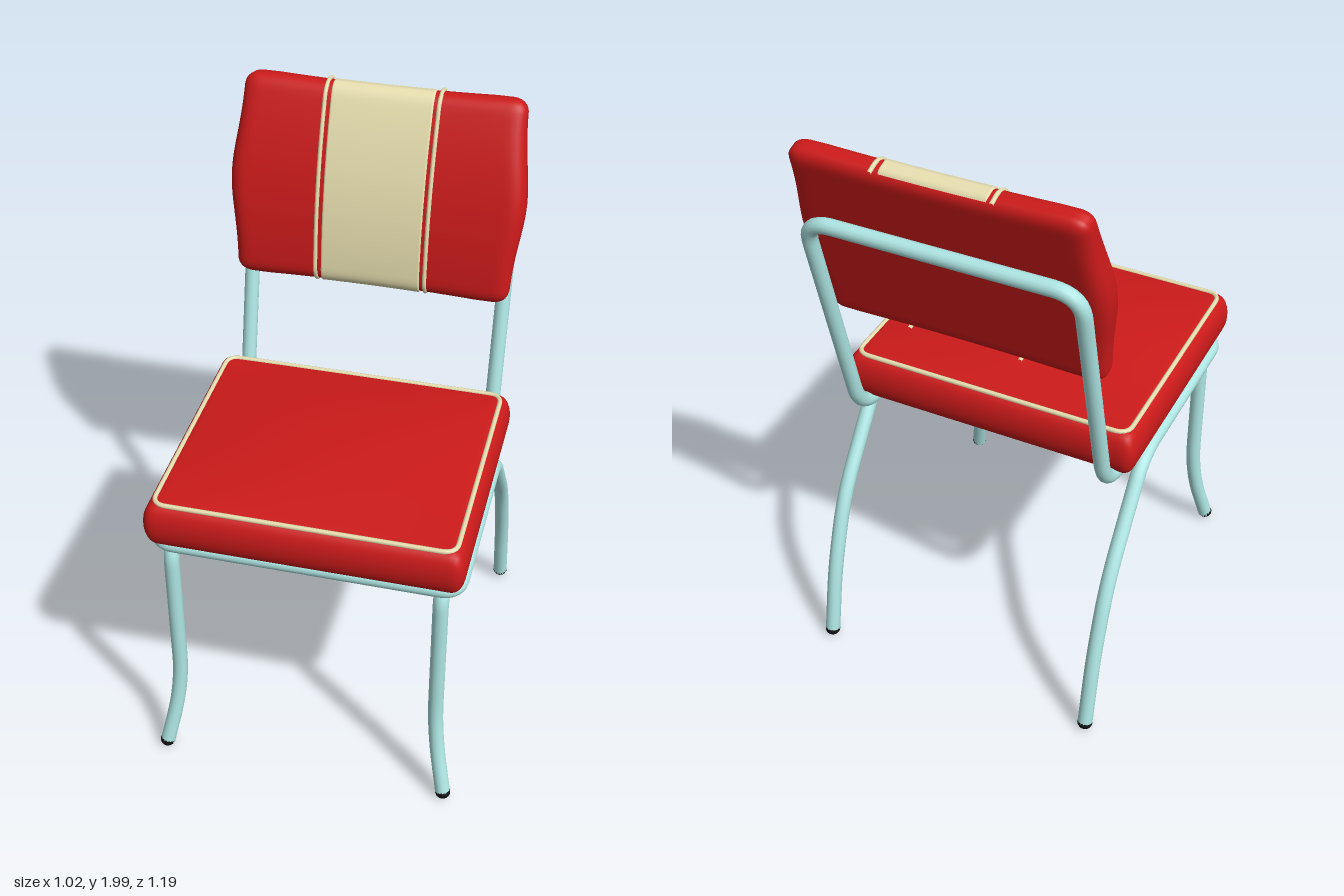
import * as THREE from 'three';
import { mergeVertices } from 'three/addons/utils/BufferGeometryUtils.js';

const paint = (color) => new THREE.MeshStandardMaterial({ color });
const red = paint(0xcc1a1a);
const cream = paint(0xe8dfb0);
const steel = paint(0xaee6e4);
const rubber = paint(0x111111);

function part(name, geometry, material) {
  const mesh = new THREE.Mesh(geometry, material);
  mesh.name = name;
  return mesh;
}

// Box with elliptical edge rounding, then bent by a warp rule
function cushion(half, radius, warp) {
  let g = new THREE.BoxGeometry(2, 2, 2, 40, 32, 40);
  g.deleteAttribute('normal');
  g.deleteAttribute('uv');
  g = mergeVertices(g);
  const pos = g.attributes.position;
  const v = new THREE.Vector3(), inner = new THREE.Vector3(), off = new THREE.Vector3();
  for (let i = 0; i < pos.count; i++) {
    v.fromBufferAttribute(pos, i);
    // crowd the grid towards the edges
    for (const k of ['x', 'y', 'z']) v[k] = Math.sin(v[k] * Math.PI / 2);
    v.multiply(half);
    inner.copy(half).sub(radius);
    inner.set(
      THREE.MathUtils.clamp(v.x, -inner.x, inner.x),
      THREE.MathUtils.clamp(v.y, -inner.y, inner.y),
      THREE.MathUtils.clamp(v.z, -inner.z, inner.z));
    off.copy(v).sub(inner).divide(radius).normalize().multiply(radius);
    v.copy(inner).add(off);
    warp(v);
    pos.setXYZ(i, v.x, v.y, v.z);
  }
  g.computeVertexNormals();
  return g;
}

// Path through corners [x, y, z, bend length], each corner smoothed
function bentPath(corners) {
  const p = corners.map((c) => new THREE.Vector3(c[0], c[1], c[2]));
  const path = new THREE.CurvePath();
  let from = p[0];
  for (let i = 1; i < p.length - 1; i++) {
    const bend = corners[i][3];
    const a = p[i].clone().add(p[i - 1].clone().sub(p[i]).setLength(bend));
    const b = p[i].clone().add(p[i + 1].clone().sub(p[i]).setLength(bend));
    path.add(new THREE.LineCurve3(from, a));
    path.add(new THREE.QuadraticBezierCurve3(a, p[i], b));
    from = b;
  }
  path.add(new THREE.LineCurve3(from, p[p.length - 1]));
  return path;
}

// Half of a symmetrical tube plus its mirror image, joined across the middle
function mirroredTube(halfCorners) {
  const other = halfCorners.map(([x, y, z, b]) => [-x, y, z, b]).reverse();
  return new THREE.TubeGeometry(bentPath([...halfCorners, ...other]), 320, 0.025, 14);
}

function createFrame() {
  const frame = new THREE.Group();
  frame.name = 'frame';
  // front legs, inner seat rails and back hoop in one tube
  frame.add(part('frontLegsAndBackHoop', mirroredTube([
    [0.48, 0.02, 0.573],
    [0.433, 0.25, 0.516, 0.14],
    [0.433, 0.872, 0.516, 0.08],
    [0.433, 0.872, -0.338, 0.12],
    [0.433, 1.735, -0.555, 0.09],
  ]), steel));
  // rear legs, outer seat rails and front bar in one tube
  frame.add(part('rearLegsAndFrontBar', mirroredTube([
    [0.483, 0.02, -0.552],
    [0.483, 0.27, -0.502, 0.1],
    [0.483, 0.53, -0.41, 0.12],
    [0.483, 0.872, -0.14, 0.09],
    [0.483, 0.872, 0.513, 0.06],
  ]), steel));
  for (const side of [-1, 1]) {
    for (const [x, z] of [[0.48, 0.573], [0.483, -0.552]]) {
      const foot = part('foot', new THREE.SphereGeometry(0.0255, 16, 12), rubber);
      foot.scale.y = 0.9;
      foot.position.set(side * x, 0.023, z);
      frame.add(foot);
    }
  }
  return frame;
}

function createSeat() {
  const seat = new THREE.Group();
  seat.name = 'seat';
  seat.position.set(0, 0.97, 0.133);
  // pad with a gently domed top
  const half = new THREE.Vector3(0.508, 0.08, 0.438);
  const dome = (v) => {
    const u = Math.min(1, Math.abs(v.x) / 0.475), w = Math.min(1, Math.abs(v.z) / 0.405);
    v.y += 0.04 * (1 - u * u) * (1 - w * w) * Math.max(0, v.y / half.y);
  };
  seat.add(part('seatPad', cushion(half, new THREE.Vector3(0.042, 0.08, 0.042), dome), red));
  // piping round the top edge
  const x = 0.475, z = 0.405, y = 0.079, b = 0.045;
  const loop = bentPath([
    [0, y, z], [x, y, z, b], [x, y, -z, b], [-x, y, -z, b], [-x, y, z, b], [0, y, z],
  ]);
  seat.add(part('seatPiping', new THREE.TubeGeometry(loop, 260, 0.008, 8, true), cream));
  return seat;
}

function createBackrest() {
  const back = new THREE.Group();
  back.name = 'backrest';
  back.position.set(0, 1.667, -0.472);
  back.rotation.x = -THREE.MathUtils.degToRad(15);
  const H = 0.327, D = 0.04;
  // bulged front, wider waist and slightly dipped middle
  const warp = (v) => {
    const t = v.y / H;
    v.z += 0.04 * Math.max(0, 1 - t * t) * (v.z + D) / (2 * D);
    v.x *= 1 + 0.065 * Math.exp(-Math.pow(v.y / 0.17, 2));
    v.y *= 1 + 0.022 * Math.min(1, Math.pow(v.x / 0.35, 2));
  };
  back.add(part('backPad', cushion(new THREE.Vector3(0.457, H, D),
    new THREE.Vector3(0.05, 0.04, 0.03), warp), red));

  // light centre panel, without the waist widening
  const panelWarp = (v) => {
    const x = v.x;
    warp(v);
    v.x = x;
    v.z += 0.004;
  };
  back.add(part('centrePanel', cushion(new THREE.Vector3(0.168, H + 0.004, D),
    new THREE.Vector3(0.004, 0.04, 0.03), panelWarp), cream));

  // piping over the top, front and bottom on each side of the panel
  for (const side of [-1, 1]) {
    const points = [];
    const add = (y, z) => {
      const v = new THREE.Vector3(side * 0.184, y, z);
      panelWarp(v);
      points.push(v);
    };
    add(H, -D);
    add(H, 0.008);
    for (let i = 0; i <= 10; i++) add((H - 0.028) * (1 - i / 5), D - (i % 10 ? 0 : 0.002));
    add(-H, 0.008);
    add(-H, -D);
    const curve = new THREE.CatmullRomCurve3(points);
    back.add(part('backPiping', new THREE.TubeGeometry(curve, 90, 0.007, 8), cream));
  }
  return back;
}

export function createModel() {
  const chair = new THREE.Group();
  chair.name = 'chair';
  chair.add(createFrame(), createSeat(), createBackrest());
  return chair;
}
